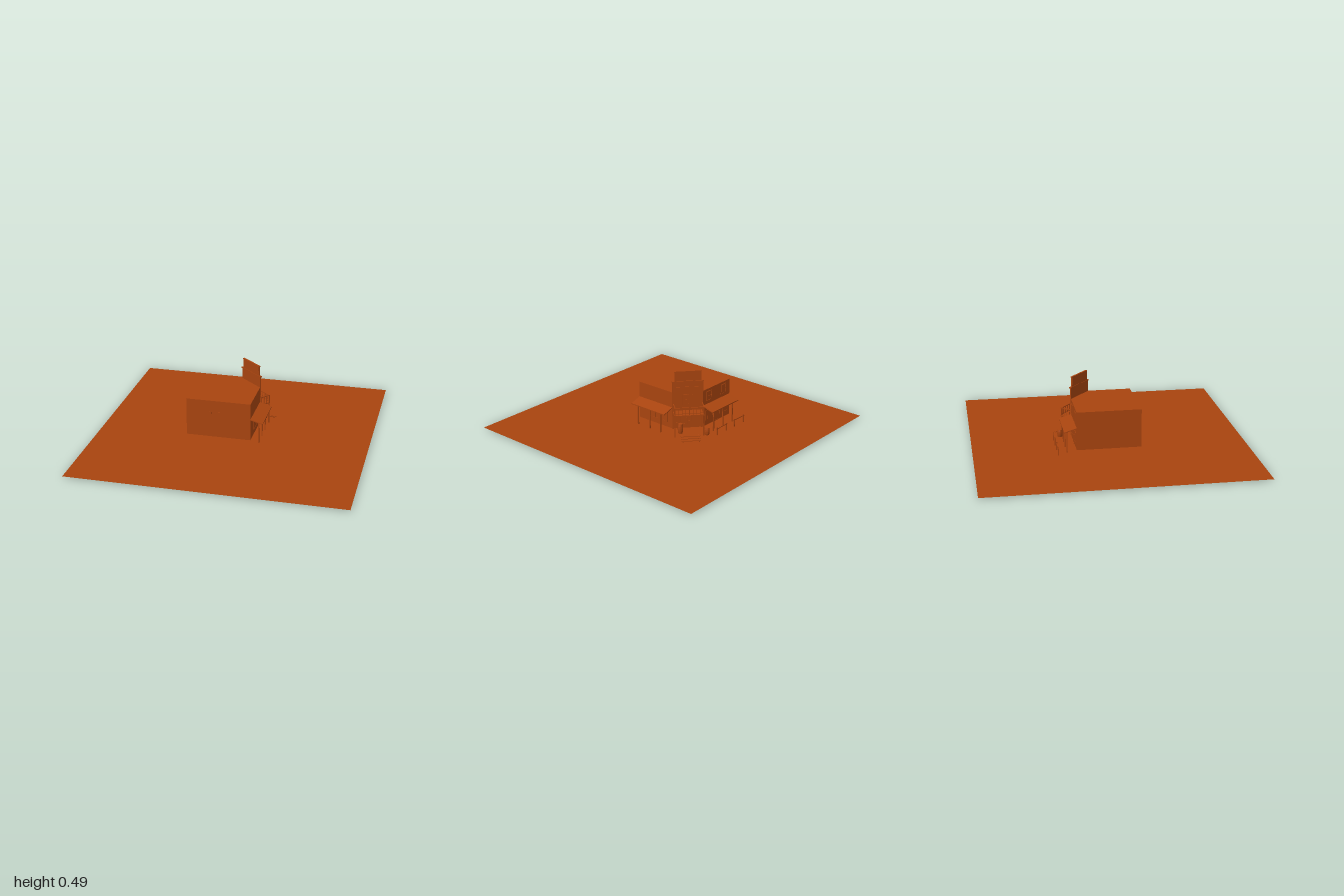
import * as THREE from 'three';

const mat = new THREE.MeshStandardMaterial({ color: 0xa8440f, side: THREE.DoubleSide, flatShading: true });

function add(parent, name, geo, x = 0, y = 0, z = 0) {
  const m = new THREE.Mesh(geo, mat);
  m.name = name;
  m.position.set(x, y, z);
  parent.add(m);
  return m;
}
const box = (parent, name, w, h, d, x, y, z) => add(parent, name, new THREE.BoxGeometry(w, h, d), x, y, z);

// Shape on the ground plan (x, z), raised upward from y = 0
function plan(points, height) {
  const s = new THREE.Shape(points.map(([x, z]) => new THREE.Vector2(x, -z)));
  const g = height
    ? new THREE.ExtrudeGeometry(s, { depth: height, bevelEnabled: false })
    : new THREE.ShapeGeometry(s);
  return g.rotateX(-Math.PI / 2);
}

// Framed panes lying on a wall that faces local +z
function windowUnit(parent, name, w, h, x, y, z, cols = 2, rows = 2) {
  const g = new THREE.Group();
  g.name = name;
  g.position.set(x, y, z);
  parent.add(g);
  const t = 0.005;
  for (const s of [-1, 1]) {
    box(g, 'sideFrame', t, h, t, s * (w - t) / 2, 0, 0);
    box(g, 'crossFrame', w, t, t, 0, s * (h - t) / 2, 0);
  }
  for (let i = 1; i < cols; i++) box(g, 'mullion', t * 0.6, h, t * 0.7, -w / 2 + w * i / cols, 0, 0);
  for (let i = 1; i < rows; i++) box(g, 'glazingBar', w, t * 0.6, t * 0.7, 0, -h / 2 + h * i / rows, 0);
  box(g, 'pane', w, h, 0.001, 0, 0, 0);
  return g;
}

// Sloping roof on posts, in a frame whose +z points away from the wall
function awning(parent, width, posts, postZ) {
  const s = new THREE.Shape([[0, 0.2], [0, 0.207], [0.09, 0.18], [0.09, 0.173]].map(p => new THREE.Vector2(...p)));
  const g = new THREE.ExtrudeGeometry(s, { depth: width, bevelEnabled: false });
  g.rotateY(-Math.PI / 2).translate(width / 2, 0, 0);
  add(parent, 'awningRoof', g);
  for (const x of posts) box(parent, 'awningPost', 0.008, 0.178, 0.008, x, 0.089, postZ);
  box(parent, 'awningBeam', width - 0.03, 0.007, 0.007, 0, 0.174, postZ);
}

// Barrel with a bulging profile
function barrel(parent, name, r, h, x, y, z) {
  const p = [[0, 0], [0.8, 0], [0.95, 0.25], [1, 0.5], [0.95, 0.75], [0.8, 1], [0, 1]];
  add(parent, name, new THREE.LatheGeometry(p.map(([a, b]) => new THREE.Vector2(a * r, b * h)), 12), x, y, z);
}

function wallFrame(root, name, x, z, angle) {
  const g = new THREE.Group();
  g.name = name;
  g.position.set(x, 0, z);
  g.rotation.y = angle;
  root.add(g);
  return g;
}

export function createModel() {
  const root = new THREE.Group();
  root.name = 'frontierBuilding';

  // Ground, boardwalk and main body with its cut corner
  add(root, 'ground', plan([[-1, -1], [-1, 1], [1, 1], [1, -1]]), 0, 0.01, 0);
  add(root, 'boardwalk', plan([[-0.44, -0.32], [-0.44, 0.32], [0.19, 0.32], [0.19, -0.248], [0.109, -0.32]]), 0, 0.038, 0);
  add(root, 'body', plan([[-0.33, -0.26], [-0.33, 0.21], [0.15, 0.21], [0.15, -0.11], [-0.02, -0.26]], 0.285), 0, 0.04, 0);

  // Street side, facing -z: local +x runs toward world -x
  const street = wallFrame(root, 'streetSide', -0.175, -0.26, Math.PI);
  awning(street, 0.31, [-0.11, 0, 0.11], 0.065);
  for (const x of [-0.085, 0.082]) {
    windowUnit(street, 'upperWindow', 0.06, 0.075, x, 0.268, 0.002);
    windowUnit(street, 'lowerWindow', 0.09, 0.08, x, 0.12, 0.002, 3);
  }
  windowUnit(street, 'streetDoor', 0.05, 0.115, 0, 0.098, 0.002, 1, 2);

  // Side facing +x
  const side = wallFrame(root, 'awningSide', 0.15, 0.05, Math.PI / 2);
  awning(side, 0.32, [-0.125, -0.01, 0.095], 0.055);
  windowUnit(side, 'wideWindow', 0.18, 0.08, 0.03, 0.12, 0.002, 3, 1);

  // Corner front, across the cut corner
  const corner = wallFrame(root, 'cornerFront', 0.065, -0.185, Math.atan2(0.66, -0.75));
  box(corner, 'falseFrontLower', 0.226, 0.09, 0.008, 0, 0.367, 0.002);
  box(corner, 'falseFrontUpper', 0.196, 0.08, 0.008, 0, 0.45, 0.002);
  box(corner, 'cornice', 0.236, 0.008, 0.018, 0, 0.41, 0.004);
  box(corner, 'topMoulding', 0.2, 0.006, 0.014, 0, 0.487, 0.004);
  box(corner, 'signSill', 0.19, 0.005, 0.012, 0, 0.365, 0.004);
  for (const s of [-1, 1]) {
    box(corner, 'pilaster', 0.01, 0.285, 0.01, s * 0.106, 0.182, 0.003);
    box(corner, 'panelEdge', 0.006, 0.07, 0.012, s * 0.094, 0.45, 0.003);
    windowUnit(corner, 'cornerWindow', 0.04, 0.08, s * 0.07, 0.12, 0.003);
    windowUnit(corner, 'upperDoorLeaf', 0.036, 0.11, s * 0.019, 0.248, 0.003, 1, 3);
    windowUnit(corner, 'lowerDoorLeaf', 0.034, 0.075, s * 0.018, 0.11, 0.003, 1, 3);
  }

  // Balcony on two posts, with railing
  box(corner, 'balconyFloor', 0.222, 0.008, 0.096, 0, 0.176, 0.048);
  box(corner, 'frontRail', 0.222, 0.006, 0.007, 0, 0.236, 0.09);
  box(corner, 'frontLowerRail', 0.21, 0.004, 0.004, 0, 0.192, 0.09);
  for (let i = 0; i <= 8; i++) {
    box(corner, 'frontBaluster', 0.004, 0.056, 0.004, -0.106 + i * 0.0265, 0.208, 0.09);
  }
  for (const s of [-1, 1]) {
    box(corner, 'balconyPost', 0.008, 0.24, 0.008, s * 0.106, 0.12, 0.09);
    box(corner, 'sideRail', 0.007, 0.006, 0.09, s * 0.106, 0.236, 0.045);
    for (const z of [0.02, 0.043, 0.066]) box(corner, 'sideBaluster', 0.004, 0.056, 0.004, s * 0.106, 0.208, z);
  }

  // Steps up to the boardwalk
  for (let i = 0; i < 3; i++) box(corner, 'stepTread', 0.142, 0.004, 0.02, 0, 0.036 - i * 0.009, 0.14 + i * 0.019);
  for (const s of [-1, 1]) {
    const stringer = box(corner, 'stepStringer', 0.005, 0.007, 0.06, s * 0.06, 0.023, 0.157);
    stringer.rotation.x = 0.42;
  }

  // Barrels
  barrel(root, 'cornerBarrel', 0.02, 0.055, 0.03, 0.018, -0.34);
  barrel(root, 'porchBarrel', 0.02, 0.075, 0.17, 0.038, -0.205);

  // Hitching rails along the street
  for (const [x0, x1] of [[-0.345, -0.215], [-0.14, -0.015]]) {
    box(root, 'hitchingRail', x1 - x0, 0.006, 0.006, (x0 + x1) / 2, 0.062, -0.393);
    for (const x of [x0 + 0.01, x1 - 0.01]) box(root, 'hitchingPost', 0.008, 0.065, 0.008, x, 0.039, -0.393);
  }

  // Small brackets on the plain wall
  for (const x of [-0.15, -0.085]) {
    box(root, 'wallBracket', 0.014, 0.008, 0.008, x, 0.233, 0.213);
    box(root, 'wallBracketDrop', 0.005, 0.022, 0.006, x + 0.006, 0.225, 0.212);
  }
  return root;
}
